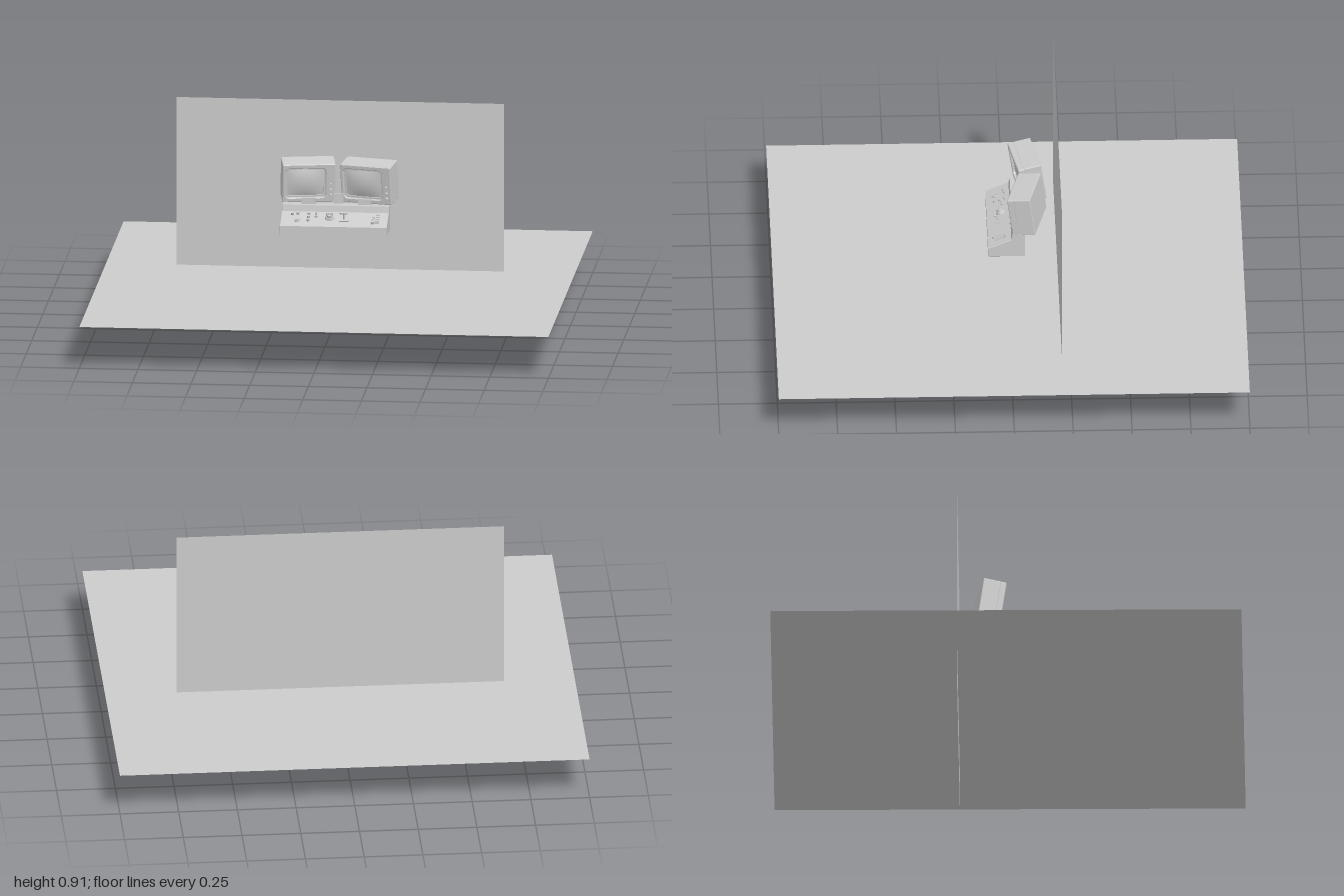
import * as THREE from 'three';
import { RoundedBoxGeometry } from 'three/addons/geometries/RoundedBoxGeometry.js';

const mat = new THREE.MeshStandardMaterial({ color: 0xcccccc });
const thin = new THREE.MeshStandardMaterial({ color: 0xcccccc, side: THREE.DoubleSide });

function add(parent, name, geo, x = 0, y = 0, z = 0, material = mat) {
  const m = new THREE.Mesh(geo, material);
  m.name = name;
  m.position.set(x, y, z);
  parent.add(m);
  return m;
}

// rounded rectangle outline centred on (cx, cy)
function roundRect(C, w, h, r, cx = 0, cy = 0) {
  const p = new C(), x = w / 2 - r, y = h / 2 - r;
  p.absarc(cx + x, cy + y, r, 0, Math.PI / 2);
  p.absarc(cx - x, cy + y, r, Math.PI / 2, Math.PI);
  p.absarc(cx - x, cy - y, r, Math.PI, Math.PI * 1.5);
  p.absarc(cx + x, cy - y, r, Math.PI * 1.5, Math.PI * 2);
  p.closePath();
  return p;
}

// cylinder whose axis runs along z
const disc = (r, h, r2 = r) => new THREE.CylinderGeometry(r2, r, h, 16).rotateX(Math.PI / 2);

const W = 0.225, H = 0.17, D = 0.1, SX = -0.014, SW = 0.17, SH = 0.132;

function monitor(name, x, z, yaw) {
  const g = new THREE.Group();
  g.name = name;
  g.position.set(x, 0.594, z);
  g.rotation.set(0.148, yaw, 0, 'YXZ');

  // casing behind the frame
  add(g, 'casing', new RoundedBoxGeometry(W, H, 0.076, 2, 0.004), 0, 0, -D / 2 + 0.038);

  // front frame with a rounded opening
  const frame = roundRect(THREE.Shape, W, H, 0.006);
  frame.holes.push(roundRect(THREE.Path, SW, SH, 0.016, SX));
  add(g, 'frontFrame', new THREE.ExtrudeGeometry(frame, {
    depth: 0.022, bevelSize: 0.003, bevelThickness: 0.003, bevelOffset: -0.003, bevelSegments: 1, curveSegments: 6,
  }), 0, 0, D / 2 - 0.025);

  // trim around the glass
  const trim = roundRect(THREE.Shape, SW, SH, 0.016, SX);
  trim.holes.push(roundRect(THREE.Path, SW - 0.014, SH - 0.014, 0.012, SX));
  add(g, 'screenTrim', new THREE.ExtrudeGeometry(trim, { depth: 0.014, bevelEnabled: false, curveSegments: 6 }), 0, 0, D / 2 - 0.025);

  // bulging glass
  const glass = new THREE.PlaneGeometry(SW - 0.01, SH - 0.01, 14, 12);
  const p = glass.attributes.position;
  for (let i = 0; i < p.count; i++) {
    const u = p.getX(i) / (SW / 2), v = p.getY(i) / (SH / 2);
    p.setZ(i, 0.014 * (1 - u * u) * (1 - v * v));
  }
  glass.computeVertexNormals();
  add(g, 'screen', glass, SX, 0, D / 2 - 0.018);

  // knobs beside the screen
  [-0.005, -0.033, -0.056].forEach((y, i) =>
    add(g, 'monitorKnob', disc(i ? 0.007 : 0.005, 0.012, i ? 0.006 : 0.004), 0.092, y, D / 2 + 0.005));
  return g;
}

function console_() {
  const g = new THREE.Group();
  g.name = 'controlConsole';
  g.position.x = -0.004;

  // wedge body from its side profile
  const s = new THREE.Shape([[0.09, 0.387], [0.09, 0.428], [-0.008, 0.47], [-0.013, 0.497], [-0.067, 0.497], [-0.067, 0.387]]
    .map(([z, y]) => new THREE.Vector2(z, y)));
  const body = new THREE.ExtrudeGeometry(s, {
    depth: 0.452, bevelSize: 0.002, bevelThickness: 0.002, bevelOffset: -0.002, bevelSegments: 1,
  }).translate(0, 0, -0.226).rotateY(-Math.PI / 2);
  add(g, 'consoleBody', body);

  // sloped panel: local z points out of it, local y runs up it
  const panel = new THREE.Group();
  panel.name = 'controlPanel';
  panel.position.set(0, 0.449, 0.041);
  panel.rotation.x = -(Math.PI / 2 - 0.405);
  g.add(panel);

  // small push buttons
  for (const [x, y] of [[-0.18, 0.03], [-0.157, 0.034], [-0.11, 0.034], [-0.11, 0.01], [-0.11, -0.012], [0.165, -0.024], [0.185, 0.03]])
    add(panel, 'button', disc(0.006, 0.012), x, y, 0.005);

  // ring dial
  add(panel, 'ringDial', new THREE.TorusGeometry(0.011, 0.003, 8, 20), -0.157, -0.012, 0.003);
  add(panel, 'dialCap', disc(0.007, 0.01), -0.157, -0.012, 0.004);

  // toggle switch
  add(panel, 'toggleBase', disc(0.008, 0.006), -0.078, 0.02, 0.003);
  add(panel, 'toggleStem', disc(0.003, 0.022), -0.078, 0.02, 0.012);

  // large rotary knob with a grip
  add(panel, 'rotaryBase', disc(0.021, 0.008, 0.018), -0.02, 0.01, 0.004);
  add(panel, 'rotaryKnob', disc(0.014, 0.014, 0.012), -0.02, 0.01, 0.013);
  add(panel, 'rotaryGrip', new THREE.BoxGeometry(0.028, 0.006, 0.01), -0.02, 0.01, 0.021);

  // T-handled lever in its slot
  add(panel, 'leverPlate', new THREE.BoxGeometry(0.042, 0.022, 0.005), 0.042, -0.004, 0.002);
  add(panel, 'leverStem', new THREE.BoxGeometry(0.006, 0.006, 0.034), 0.042, -0.002, 0.018);
  add(panel, 'leverHandle', new RoundedBoxGeometry(0.034, 0.011, 0.011, 2, 0.004), 0.042, -0.002, 0.036);

  // keypad at the left end
  add(panel, 'keypadPlate', new THREE.BoxGeometry(0.036, 0.05, 0.005), 0.175, 0.004, 0.002);
  for (let i = 0; i < 6; i++)
    add(panel, 'key', new THREE.BoxGeometry(0.012, 0.01, 0.006), 0.167 + (i % 2) * 0.016, -0.01 + Math.floor(i / 2) * 0.014, 0.006);
  return g;
}

export function createModel() {
  const root = new THREE.Group();
  root.name = 'controlStation';

  // room planes
  add(root, 'floor', new THREE.PlaneGeometry(2, 2).rotateX(-Math.PI / 2), 0, 0.18, 0, thin);
  add(root, 'backWall', new THREE.PlaneGeometry(1.395, 0.91), -0.002, 0.455, -0.21, thin);

  root.add(console_());
  root.add(monitor('rightMonitor', -0.127, -0.084, 0.185));
  root.add(monitor('leftMonitor', 0.136, -0.076, -0.24));

  // supports under and between the monitors
  for (const x of [-0.12, 0.12])
    add(root, 'monitorStand', new THREE.BoxGeometry(0.06, 0.035, 0.03), x, 0.505, -0.05);
  add(root, 'hinge', new THREE.BoxGeometry(0.04, 0.05, 0.012), 0.006, 0.515, -0.06);
  return root;
}
